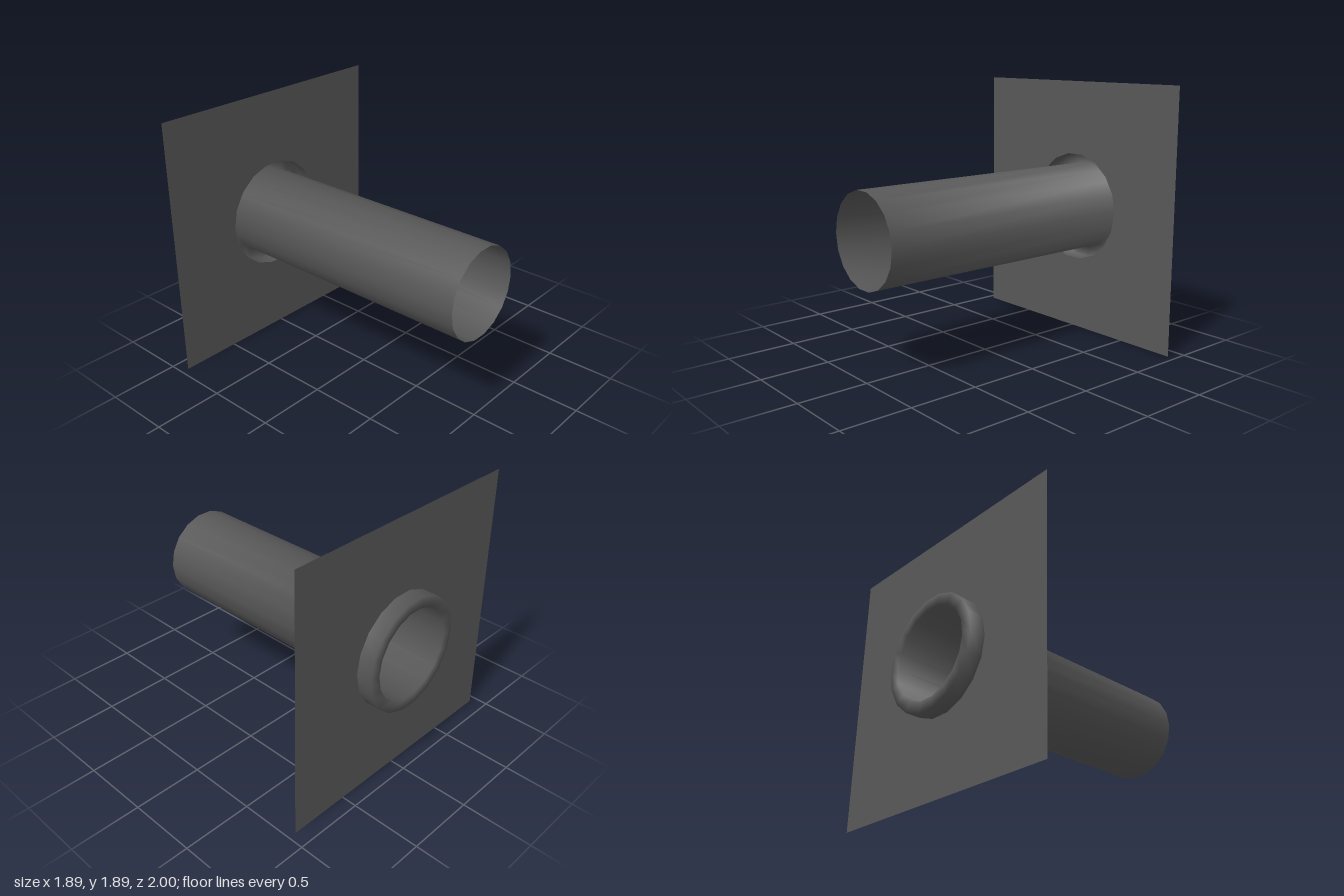
import * as THREE from 'three';

const SIDES = 18;
const CY = 0.945; // height of the tube axis and half the plate size
const R_TUBE = 0.326, R_RIM = 0.406;
const Z_PLATE = -0.89;

export function createModel() {
  const group = new THREE.Group();
  const grey = new THREE.MeshStandardMaterial({ color: 0x585858, side: THREE.DoubleSide });
  grey.name = 'darkGrey';

  // Tube folding outward at the back into a raised rim that meets the plate
  const profile = [[R_RIM, Z_PLATE], [R_RIM, -1], [R_TUBE, -1], [R_TUBE, 1]]
    .map(([r, z]) => new THREE.Vector2(r, z));
  const tube = new THREE.LatheGeometry(profile, SIDES, Math.PI / 2);

  // Soft shading across the rim corners
  const d = Math.SQRT1_2;
  const soft = [[-1, 0], [-d, d], [d, d], [1, 0]];
  for (let i = 0; i <= SIDES; i++) {
    const a = Math.PI / 2 + (i / SIDES) * Math.PI * 2;
    soft.forEach(([nr, ny], j) =>
      tube.attributes.normal.setXYZ(i * soft.length + j, nr * Math.sin(a), ny, nr * Math.cos(a)));
  }
  tube.rotateX(Math.PI / 2);
  const tubeMesh = new THREE.Mesh(tube, grey);
  tubeMesh.name = 'tubeWithRim';
  tubeMesh.position.y = CY;

  // Thin square wall plate with a hole matching the rim
  const square = new THREE.Shape([[-CY, -CY], [CY, -CY], [CY, CY], [-CY, CY]]
    .map(([x, y]) => new THREE.Vector2(x, y)));
  const hole = [];
  for (let i = 0; i < SIDES; i++) {
    const a = (-i / SIDES) * Math.PI * 2;
    hole.push(new THREE.Vector2(R_RIM * Math.cos(a), R_RIM * Math.sin(a)));
  }
  square.holes.push(new THREE.Path(hole));
  const plate = new THREE.Mesh(new THREE.ShapeGeometry(square), grey);
  plate.name = 'wallPlate';
  plate.position.set(0, CY, Z_PLATE);

  group.add(tubeMesh, plate);
  return group;
}
